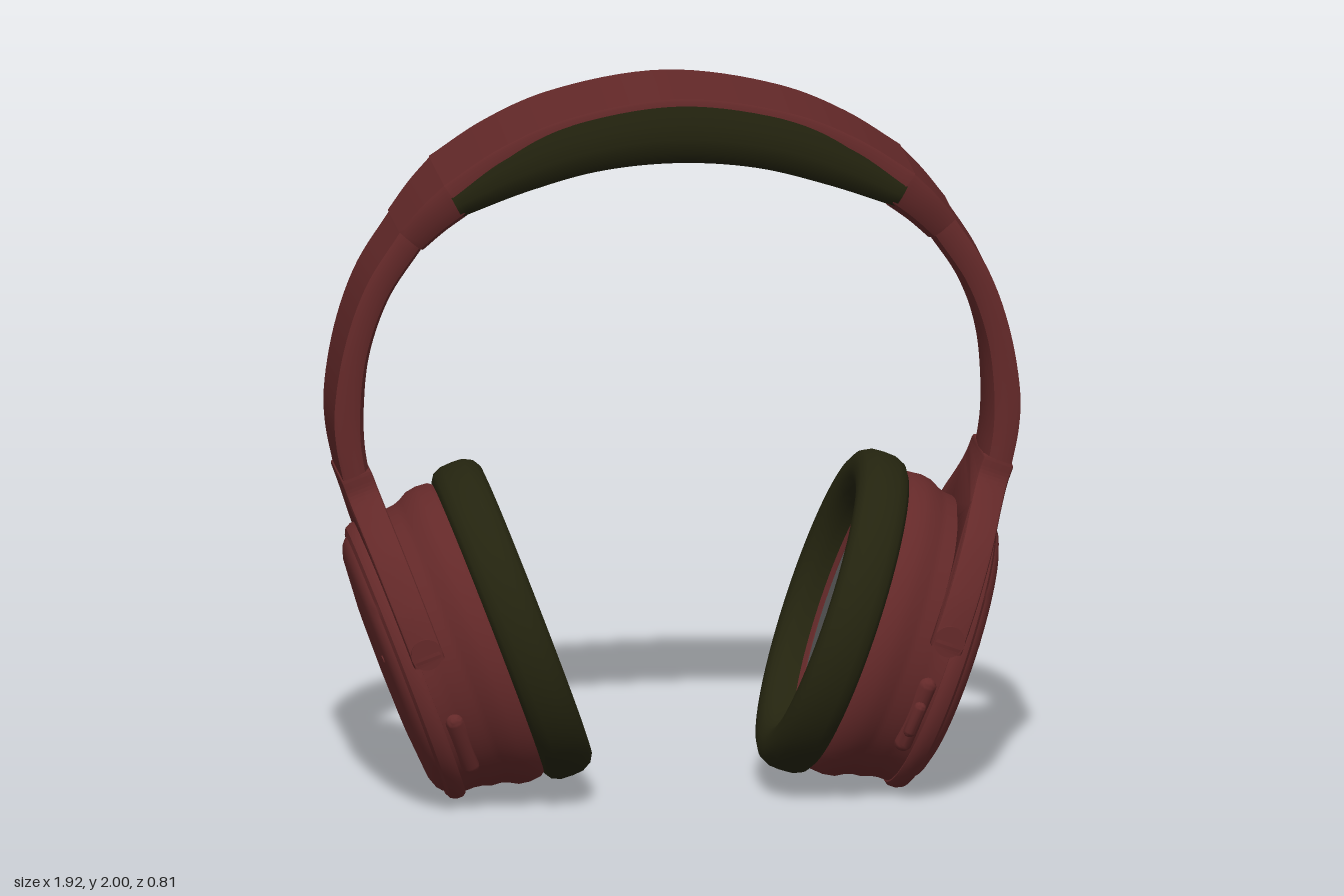
import * as THREE from 'three';
import { toCreasedNormals } from 'three/addons/utils/BufferGeometryUtils.js';

const material = (name, color, side = THREE.FrontSide) => {
  const m = new THREE.MeshStandardMaterial({ color, side });
  m.name = name;
  return m;
};

const TILT = -0.354;   // lean of each ear cup in the front plane
const LEAN = -0.35;    // turn of the cup ellipse about its own axis
const RATIO = 0.833;   // short / long axis of the cup ellipse
const CUP_Y = 0.612;   // cup centre along the tilted up axis

// Elliptical turned part: profile of [radius, distance outward along +x]
function turned(profile) {
  const g = new THREE.LatheGeometry(profile.map(p => new THREE.Vector2(...p)), 72);
  return g.rotateZ(-Math.PI / 2).scale(1, 1, RATIO).rotateX(LEAN);
}

// Point on the cup ellipse at angle t from the top, w outward
function onCup(r, t, w) {
  return new THREE.Vector3(w, r * Math.cos(t), r * RATIO * Math.sin(t))
    .applyAxisAngle(new THREE.Vector3(1, 0, 0), LEAN);
}

// Capsule lying along the cup wall between two angles
function pill(r, t0, t1, w, radius) {
  const a = onCup(r, t0, w), b = onCup(r, t1, w);
  const dir = b.clone().sub(a);
  const g = new THREE.CapsuleGeometry(radius, dir.length() - radius, 6, 16);
  g.applyQuaternion(new THREE.Quaternion().setFromUnitVectors(new THREE.Vector3(0, 1, 0), dir.normalize()));
  const mid = a.add(b).multiplyScalar(0.5);
  return g.translate(mid.x, mid.y, mid.z);
}

// Skin between an outer and an inner curve; section holds [across, depth] pairs
function loft(outer, inner, widths, section, steps) {
  const curve = pts => new THREE.CatmullRomCurve3(pts.map(p => new THREE.Vector3(p[0], p[1], 0)));
  const co = curve(outer), ci = curve(inner), n = section.length;
  const cw = curve(widths.map((w, i) => [i, w]));
  const pos = [], idx = [];
  for (let i = 0; i <= steps; i++) {
    const k = i / steps, o = co.getPoint(k), q = ci.getPoint(k), hw = cw.getPoint(k).y;
    for (const [s, t] of section) {
      const p = o.clone().lerp(q, t);
      pos.push(p.x, p.y, s * hw);
    }
  }
  for (let i = 0; i < steps; i++) for (let j = 0; j < n; j++) {
    const a = i * n + j, d = i * n + (j + 1) % n;
    idx.push(a, a + n, d + n, a, d + n, d);
  }
  // end caps
  for (const [k, flip] of [[0, false], [1, true]]) {
    const o = co.getPoint(k), q = ci.getPoint(k), c = pos.length / 3, base = k * steps * n;
    pos.push((o.x + q.x) / 2, (o.y + q.y) / 2, 0);
    for (let j = 0; j < n; j++) {
      const a = base + j, d = base + (j + 1) % n;
      idx.push(c, flip ? d : a, flip ? a : d);
    }
  }
  const g = new THREE.BufferGeometry();
  g.setAttribute('position', new THREE.Float32BufferAttribute(pos, 3));
  g.setIndex(idx);
  return g;
}

// Mirror a triangle soup in x, keeping faces outward
function mirrored(g) {
  const m = g.clone().scale(-1, 1, 1);
  for (const key of ['position', 'normal']) {
    const at = m.attributes[key], v = new THREE.Vector3(), u = new THREE.Vector3();
    for (let i = 0; i < at.count; i += 3) {
      v.fromBufferAttribute(at, i + 1);
      u.fromBufferAttribute(at, i + 2);
      at.setXYZ(i + 1, u.x, u.y, u.z);
      at.setXYZ(i + 2, v.x, v.y, v.z);
    }
  }
  return m;
}

// Fork around the cup: flat outline in (z, up), extruded along the cup axis
function yokeGeometry() {
  const shape = new THREE.Shape();
  shape.moveTo(-0.135, 0.57);
  shape.lineTo(0.135, 0.57);
  shape.splineThru([[0.142, 0.52], [0.19, 0.455], [0.29, 0.35], [0.36, 0.22], [0.39, 0.1], [0.392, 0.07]]
    .map(p => new THREE.Vector2(...p)));
  shape.lineTo(0.36, 0.07);
  shape.splineThru([[0.33, 0.19], [0.25, 0.3], [0.12, 0.37], [0, 0.385], [-0.12, 0.37], [-0.25, 0.3],
    [-0.33, 0.19], [-0.358, 0.07], [-0.36, -0.05]].map(p => new THREE.Vector2(...p)));
  shape.lineTo(-0.388, -0.05);
  shape.splineThru([[-0.396, 0.06], [-0.37, 0.22], [-0.295, 0.355], [-0.19, 0.46], [-0.142, 0.52], [-0.135, 0.57]]
    .map(p => new THREE.Vector2(...p)));
  const g = new THREE.ExtrudeGeometry(shape, {
    depth: 0.07, bevelThickness: 0.01, bevelSize: 0.008, bevelSegments: 2, curveSegments: 32,
  });
  // extrusion axis becomes -x, outline x becomes z
  return g.rotateY(-Math.PI / 2).translate(0.555, 0, 0);
}

export function createModel() {
  const model = new THREE.Group();
  model.name = 'headphones';
  const maroon = material('maroon shell', 0x642929);
  const olive = material('dark olive padding', 0x24240f);
  const grey = material('grey speaker cloth', 0x5a5a5a, THREE.DoubleSide);

  const add = (name, geometry, mat, parent = model, crease = 0.65) => {
    const mesh = new THREE.Mesh(toCreasedNormals(geometry, crease), mat);
    mesh.name = name;
    parent.add(mesh);
    return mesh;
  };

  // Headband top and cushion
  const both = half => [...half.slice(1).reverse().map(([x, y]) => [-x, y]), ...half];
  const flat = [[1, 0.2], [0.98, 0], [-0.98, 0], [-1, 0.2], [-1, 1], [1, 1]];
  add('headbandTop', loft(
    both([[0, 2], [0.327, 1.947], [0.51, 1.868], [0.66, 1.77]]),
    both([[0, 1.965], [0.32, 1.912], [0.49, 1.84], [0.635, 1.735]]),
    [0.192, 0.192, 0.192], flat, 48), maroon);
  const soft = [[0.95, 0], [-0.95, 0], [-1, 0.25], [-1, 0.5], [-0.95, 0.72], [-0.82, 0.87], [-0.55, 0.96], [0, 1],
    [0.55, 0.96], [0.82, 0.87], [0.95, 0.72], [1, 0.5], [1, 0.25]];
  add('headbandCushion', loft(
    both([[0, 1.98], [0.325, 1.927], [0.505, 1.85], [0.65, 1.755]]),
    both([[0, 1.793], [0.22, 1.775], [0.42, 1.722], [0.6, 1.66]]),
    [0.19, 0.2, 0.203, 0.2, 0.19], soft, 48), olive, model, 0.9);

  // One side, built for +x: band ends, arm and ear cup
  const side = new THREE.Group();
  side.name = 'leftSide';
  const rounded = [[1, 0.12], [0.96, 0], [-0.96, 0], [-1, 0.12], [-1, 0.55], [-0.92, 0.8], [-0.65, 0.96], [0, 1],
    [0.65, 0.96], [0.92, 0.8], [1, 0.55]];
  add('bandEnd', loft(
    [[0.655, 1.773], [0.72, 1.705], [0.78, 1.63]],
    [[0.585, 1.665], [0.645, 1.62], [0.705, 1.565]],
    [0.19, 0.172, 0.147], rounded, 12), maroon, side);
  add('arm', loft(
    [[0.777, 1.628], [0.87, 1.48], [0.93, 1.31], [0.96, 1.12], [0.955, 1.02], [0.935, 0.92]],
    [[0.708, 1.57], [0.8, 1.43], [0.855, 1.27], [0.87, 1.12], [0.868, 1.02], [0.855, 0.93]],
    [0.142, 0.142, 0.142], rounded, 32), maroon, side);

  const cup = new THREE.Group();
  cup.name = 'earCup';
  cup.rotation.z = TILT;
  cup.position.set(-Math.sin(TILT) * CUP_Y, Math.cos(TILT) * CUP_Y, 0);
  side.add(cup);
  add('earPad', turned([[0.345, 0.3], [0.345, 0.235], [0.352, 0.208], [0.37, 0.187], [0.4, 0.178], [0.43, 0.18],
    [0.452, 0.193], [0.466, 0.22], [0.468, 0.25], [0.466, 0.285], [0.455, 0.31], [0.435, 0.323], [0.38, 0.325]]),
  olive, cup, 0.9);
  add('innerRim', turned([[0.325, 0.29], [0.325, 0.272], [0.348, 0.262]]), maroon, cup);
  add('speakerCloth', turned([[0, 0.275], [0.328, 0.275]]), grey, cup);
  add('cupBody', turned([[0.36, 0.315], [0.425, 0.318], [0.438, 0.335], [0.441, 0.37], [0.436, 0.4], [0.422, 0.425],
    [0.415, 0.445], [0.413, 0.47], [0.404, 0.495], [0.4, 0.52], [0.4, 0.55], [0.36, 0.555]]), maroon, cup);
  add('cupCover', turned([[0.37, 0.545], [0.405, 0.547], [0.412, 0.557], [0.412, 0.575], [0.404, 0.592], [0.388, 0.6],
    [0.381, 0.597], [0.376, 0.605], [0.362, 0.617], [0.33, 0.628], [0.2, 0.638], [0, 0.643]]), maroon, cup);
  add('yoke', yokeGeometry(), maroon, cup);
  // Rounded tip of the front fork tab
  add('yokeTip', new THREE.CylinderGeometry(0.044, 0.044, 0.046, 24).rotateX(Math.PI / 2)
    .translate(0.52, 0.092, 0.377), maroon, cup);
  add('microphone', new THREE.CylinderGeometry(0.012, 0.012, 0.01, 16).rotateZ(Math.PI / 2)
    .translate(0.629, 0.08, 0.22), maroon, cup);
  model.add(side);

  // Opposite side
  const other = side.clone(true);
  other.name = 'rightSide';
  other.traverse(o => { if (o.isMesh) o.geometry = mirrored(o.geometry); });
  const otherCup = other.getObjectByName('earCup');
  otherCup.rotation.z = -TILT;
  otherCup.position.x *= -1;
  model.add(other);

  // Controls differ between the sides
  add('switchPlate', pill(0.403, 1.98, 2.54, 0.515, 0.026), maroon, cup);
  add('switchKnob', pill(0.418, 2.14, 2.38, 0.515, 0.018), maroon, cup);
  add('button', pill(0.403, 2.18, 2.69, -0.512, 0.026), maroon, otherCup);
  return model;
}
